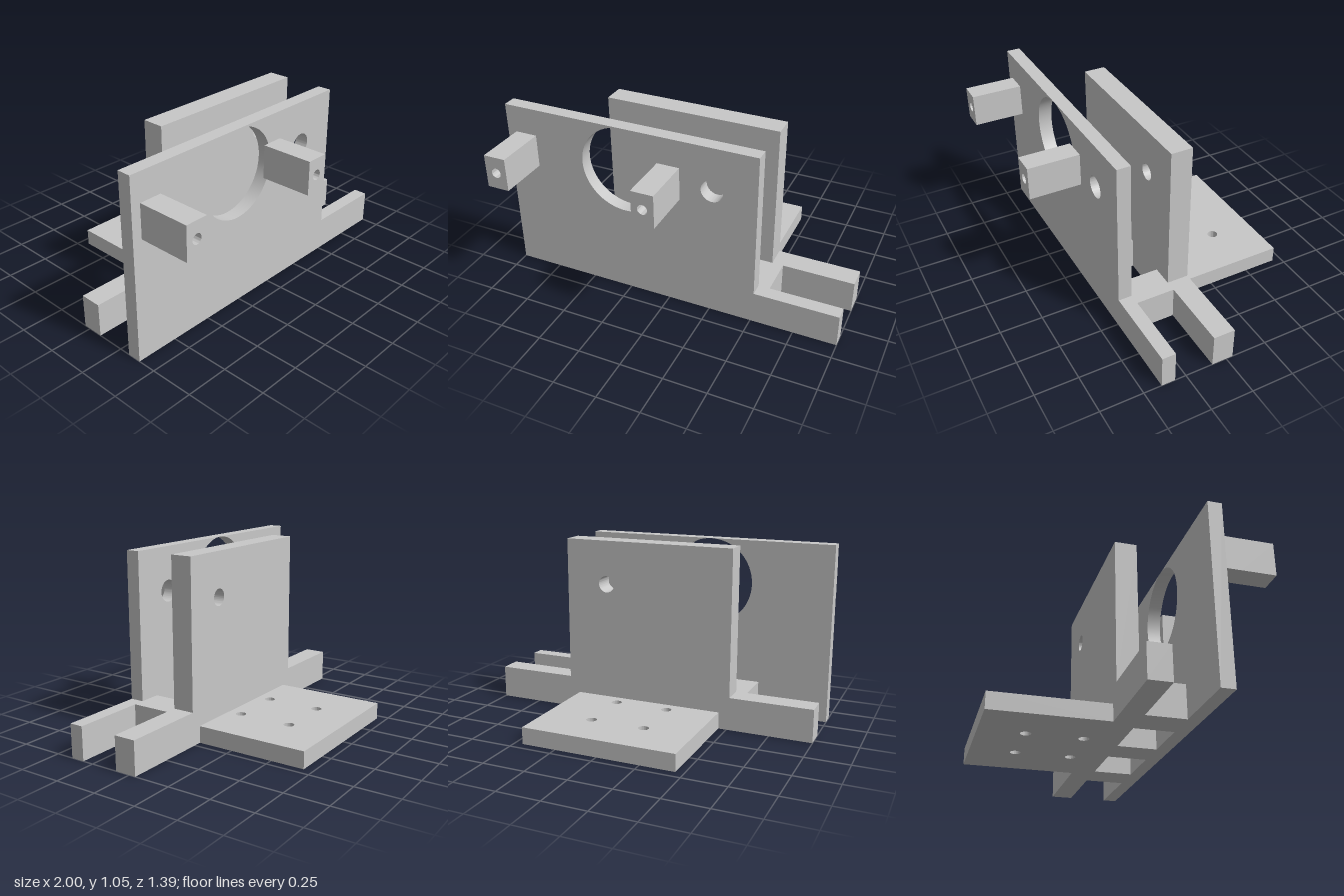
import * as THREE from 'three';
import { toCreasedNormals } from 'three/addons/utils/BufferGeometryUtils.js';

export function createModel() {
  const model = new THREE.Group();
  model.name = 'slottedBracket';
  const grey = new THREE.MeshStandardMaterial({ color: 0xc8c8c8 });
  grey.name = 'light grey';

  // Outline with round holes [x, y, radius], extruded along +z
  function plate(points, holes, depth) {
    const shape = new THREE.Shape(points.map(([x, y]) => new THREE.Vector2(x, y)));
    for (const [x, y, r] of holes) {
      shape.holes.push(new THREE.Path().absarc(x, y, r, 0, Math.PI * 2, true));
    }
    const geo = new THREE.ExtrudeGeometry(shape, { depth, bevelEnabled: false, curveSegments: 32 });
    return toCreasedNormals(geo, 0.6);
  }
  const rect = (x0, y0, x1, y1) => [[x0, y0], [x1, y0], [x1, y1], [x0, y1]];

  function add(name, geo, x = 0, y = 0, z = 0, parent = model) {
    const mesh = new THREE.Mesh(geo, grey);
    mesh.name = name;
    mesh.position.set(x, y, z);
    parent.add(mesh);
    return mesh;
  }

  const railTop = 0.194, top = 1.049, axisY = 0.791;

  // Front plate with its rail extending to the left
  const frontOutline = [[-1, 0], [1, 0], [1, railTop], [0.515, railTop], [0.515, top], [-1, top]];
  add('frontPlate', plate(frontOutline,
    [[-0.264, axisY, 0.2575], [0.259, axisY, 0.064]], 0.08), 0, 0, 0.315);

  // Back plate rising from a full-width rail
  const backOutline = [[-1, 0], [1, 0], [1, railTop], [0.515, railTop], [0.515, top],
    [-0.515, top], [-0.515, railTop], [-1, railTop]];
  add('backPlate', plate(backOutline, [[0.259, axisY, 0.049]], 0.127), 0, 0, -0.04);

  // Cross bars joining the two rails
  for (const [x0, x1] of [[-0.581, -0.388], [-0.097, 0.093], [0.387, 0.58]]) {
    add('crossBar', new THREE.BoxGeometry(x1 - x0, railTop, 0.228),
      (x0 + x1) / 2, railTop / 2, 0.201);
  }

  // Mounting base behind, with four screw holes
  const screws = [];
  for (const x of [-0.16, 0.16]) for (const y of [0.12, 0.439]) screws.push([x, y, 0.03]);
  const base = plate(rect(-0.453, 0.04, 0.453, 0.697), screws, 0.098);
  base.rotateX(-Math.PI / 2);
  add('mountingBase', base);

  // Square posts with blind screw holes in their front ends
  for (const x of [-0.88, 0.007]) {
    const post = new THREE.Group();
    post.name = 'post';
    post.position.set(x, axisY, 0.395);
    model.add(post);
    add('postRoot', new THREE.BoxGeometry(0.13, 0.194, 0.105), 0, 0, 0.0525, post);
    add('postEnd', plate(rect(-0.065, -0.097, 0.065, 0.097), [[0, 0, 0.029]], 0.197), 0, 0, 0.105, post);
  }
  return model;
}
